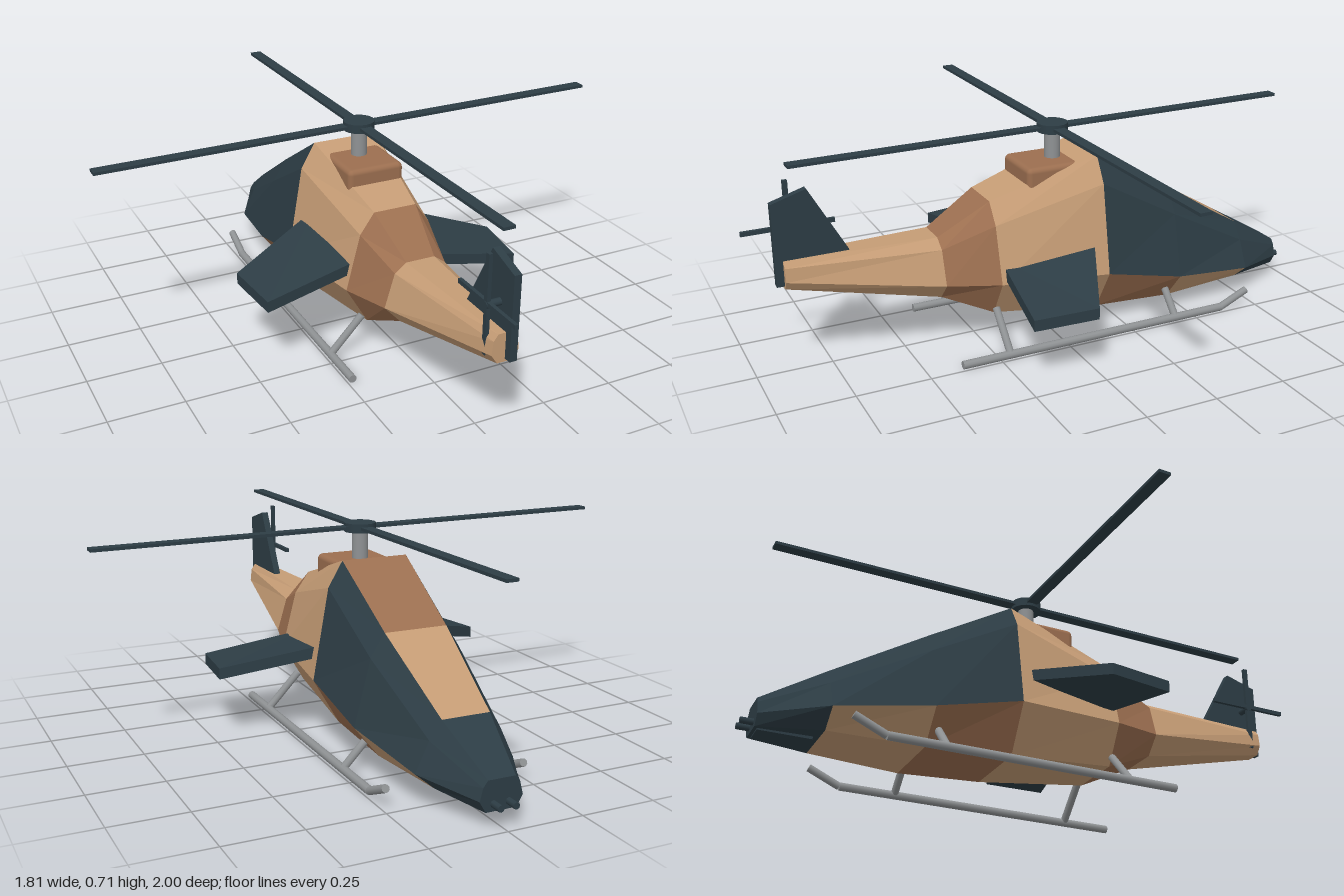
import * as THREE from 'three';
import { RoundedBoxGeometry } from 'three/addons/geometries/RoundedBoxGeometry.js';

const mat = (name, color, extra = {}) => {
  const m = new THREE.MeshStandardMaterial({ color, ...extra });
  m.name = name;
  return m;
};

export function createModel() {
  const tan = mat('sandTan', 0xc59c75);
  const brown = mat('earthBrown', 0x9c6f50);
  const slate = mat('darkSlate', 0x2d3d45);
  const grey = mat('metalGrey', 0x8f9294);

  const model = new THREE.Group();
  model.name = 'helicopter';
  const add = (name, geo, material, x = 0, y = 0, z = 0, parent = model) => {
    const m = new THREE.Mesh(geo, material);
    m.name = name;
    m.position.set(x, y, z);
    parent.add(m);
    return m;
  };
  // Cylinder running between two points
  const rod = (name, a, b, r, material, sides = 10) => {
    const p = new THREE.Vector3(...a), q = new THREE.Vector3(...b);
    const d = q.clone().sub(p);
    const m = add(name, new THREE.CylinderGeometry(r, r, d.length(), sides), material);
    m.position.copy(p).add(q).multiplyScalar(0.5);
    m.quaternion.setFromUnitVectors(new THREE.Vector3(0, 1, 0), d.normalize());
    return m;
  };
  const solid = (tris) => {
    const g = new THREE.BufferGeometry();
    g.setAttribute('position', new THREE.Float32BufferAttribute(tris.flat(), 3));
    g.computeVertexNormals();
    return g;
  };
  const quad = (list, a, b, c, d) => list.push(a, b, c, a, c, d);

  // Fuselage stations: z, then belly, waist, shoulder and roof as half width, height
  const stations = [
    [0.89, 0.025, 0.30, 0.045, 0.33, 0.04, 0.375, 0.025, 0.395],
    [0.39, 0.07, 0.19, 0.125, 0.25, 0.09, 0.365, 0.05, 0.395],
    [0.215, 0.10, 0.11, 0.175, 0.24, 0.125, 0.43, 0.075, 0.50],
    [-0.16, 0.13, 0.07, 0.22, 0.225, 0.165, 0.53, 0.115, 0.615],
    [-0.45, 0.125, 0.05, 0.21, 0.155, 0.155, 0.37, 0.107, 0.445],
    [-0.76, 0.10, 0.055, 0.165, 0.11, 0.12, 0.205, 0.08, 0.262],
    [-0.96, 0.05, 0.05, 0.07, 0.085, 0.06, 0.125, 0.045, 0.145],
  ];
  const rings = stations.map(([z, ...p]) => {
    const right = [0, 2, 4, 6].map((i) => [p[i], p[i + 1], z]);
    return [...right, ...right.map(([x, y]) => [-x, y, z]).reverse()];
  });
  const skin = { tan: [], brown: [], slate: [] };
  for (let k = 0; k < rings.length - 1; k++) {
    for (let j = 0; j < 8; j++) {
      const n = (j + 1) % 8;
      const glass = k === 5 || (k >= 3 && [1, 2, 4, 5].includes(j));
      const list = glass ? skin.slate : k % 2 ? skin.brown : skin.tan;
      quad(list, rings[k][j], rings[k + 1][j], rings[k + 1][n], rings[k][n]);
    }
  }
  const tail = rings[0], nose = rings[rings.length - 1];
  for (let j = 1; j < 7; j++) {
    skin.tan.push(tail[0], tail[j], tail[j + 1]);
    skin.slate.push(nose[0], nose[j + 1], nose[j]);
  }
  add('fuselageLightPanels', solid(skin.tan), tan);
  add('fuselageBrownPanels', solid(skin.brown), brown);
  add('cockpitAndNose', solid(skin.slate), slate);

  // Nose turret and twin barrels
  add('noseTurret', new THREE.BoxGeometry(0.08, 0.04, 0.17), slate, 0, 0.065, -0.865);
  for (const s of [1, -1]) {
    rod('noseBarrel', [s * 0.025, 0.073, -0.9], [s * 0.025, 0.073, -1.0], 0.011, slate, 8);
  }

  // Stub wings, drooping outward and swept back
  const wing = (s, lift) => {
    const top = [[0.12, 0.343, -0.15], [0.48, 0.25, 0.02], [0.458, 0.243, 0.235], [0.1, 0.30, 0.19]]
      .map(([x, y, z]) => [s * x, y + lift, z]);
    const low = top.map(([x, y, z]) => [x, y - 0.038, z]);
    const t = [];
    const face = (a, b, c, d) => (s > 0 ? quad(t, d, c, b, a) : quad(t, a, b, c, d));
    face(...top);
    face(...[...low].reverse());
    for (let i = 0; i < 4; i++) {
      const n = (i + 1) % 4;
      face(top[n], top[i], low[i], low[n]);
    }
    return solid(t);
  };
  add('leftWing', wing(1, 0), slate);
  add('rightWing', wing(-1, 0.033), slate);

  // Landing skids with upturned toes and slanted struts
  for (const s of [1, -1]) {
    rod('skid', [s * 0.235, 0.015, 0.385], [s * 0.235, 0.015, -0.61], 0.014, grey);
    rod('skidToe', [s * 0.235, 0.015, -0.61], [s * 0.235, 0.062, -0.715], 0.013, grey);
    for (const z of [0.215, -0.42]) {
      rod('skidStrut', [s * 0.235, 0.015, z], [s * 0.12, 0.135, z], 0.013, grey);
    }
  }

  // Engine housing, mast and main rotor
  add('engineHousing', new RoundedBoxGeometry(0.2, 0.13, 0.21, 2, 0.018), brown, 0, 0.53, -0.02);
  rod('mast', [0, 0.57, -0.05], [0, 0.7, -0.05], 0.027, grey, 16);
  const rotor = new THREE.Group();
  rotor.name = 'mainRotor';
  rotor.position.set(0, 0.7, -0.05);
  rotor.rotation.y = 0.017;
  model.add(rotor);
  add('rotorHub', new THREE.CylinderGeometry(0.053, 0.053, 0.03, 16), slate, 0, 0, 0, rotor);
  add('rotorBladePair', new THREE.BoxGeometry(1.81, 0.01, 0.04), slate, 0, 0, 0, rotor);
  add('rotorBladePair', new THREE.BoxGeometry(0.04, 0.01, 1.81), slate, 0, 0, 0, rotor);

  // Tail fin, outlined in the side plane
  const outline = [[0.67, 0.385], [0.80, 0.62], [0.765, 0.605], [0.915, 0.585], [0.915, 0.31], [0.885, 0.31]]
    .filter((_, i) => i !== 2).map(([z, y]) => new THREE.Vector2(-z, y));
  const finGeo = new THREE.ExtrudeGeometry(new THREE.Shape(outline), { depth: 0.024, bevelEnabled: false });
  finGeo.rotateY(Math.PI / 2);
  add('tailFin', finGeo, slate, 0, 0, 0);

  // Tail rotor
  rod('tailRotorShaft', [0.01, 0.475, 0.85], [-0.05, 0.475, 0.85], 0.012, slate, 10);
  add('tailRotorBlades', new THREE.BoxGeometry(0.012, 0.32, 0.016), slate, -0.042, 0.475, 0.85);
  add('tailRotorBlades', new THREE.BoxGeometry(0.012, 0.014, 0.3), slate, -0.042, 0.48, 0.85);

  return model;
}
